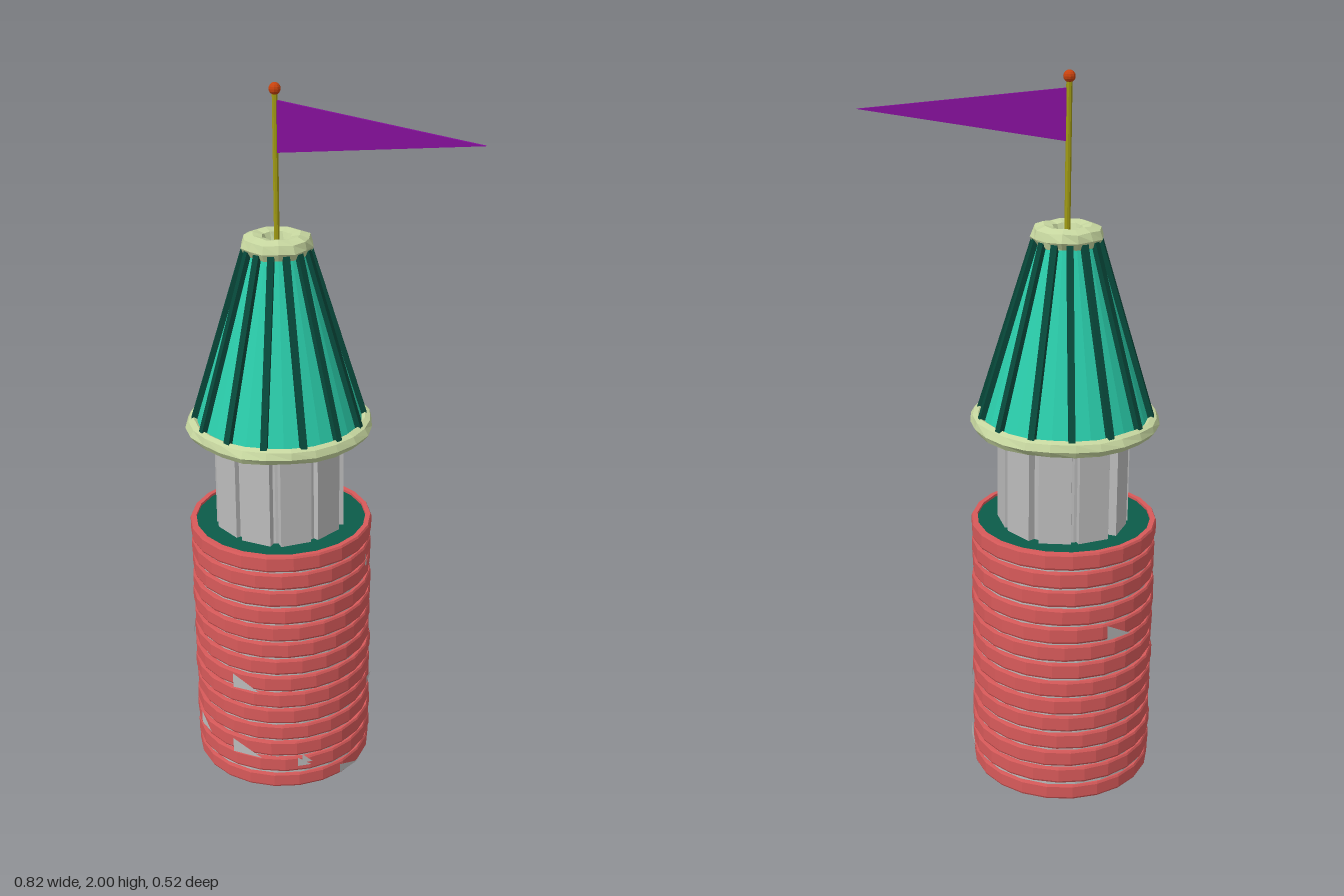
import * as THREE from 'three';

const mat = (name, color, extra = {}) => {
  const m = new THREE.MeshStandardMaterial({ color, flatShading: true, ...extra });
  m.name = name;
  return m;
};

export function createModel() {
  const M = {
    brick: mat('brick red', 0xd85a5a),
    stone: mat('stone grey', 0xbcbcbc, { side: THREE.DoubleSide }),
    roof: mat('roof green', 0x2accaa, { side: THREE.DoubleSide }),
    dark: mat('dark green', 0x0b5c4a),
    rib: mat('rib green', 0x07493b),
    cream: mat('cream trim', 0xc6d69f),
    pole: mat('pole yellow', 0xa09a14),
    ball: mat('finial orange', 0xc8430f),
    flag: mat('flag purple', 0x84109a, { side: THREE.DoubleSide }),
  };
  const root = new THREE.Group();
  root.name = 'flagTower';
  const tower = new THREE.Group();
  tower.name = 'tower';
  tower.position.x = -0.15;
  root.add(tower);

  const add = (name, geo, material, x = 0, y = 0, z = 0) => {
    const mesh = new THREE.Mesh(geo, material);
    mesh.name = name;
    mesh.position.set(x, y, z);
    tower.add(mesh);
    return mesh;
  };
  const cyl = (name, rt, rb, y0, y1, sides, material, open = false) =>
    add(name, new THREE.CylinderGeometry(rt, rb, y1 - y0, sides, 1, open), material, 0, (y0 + y1) / 2);
  const ring = (profile, sides) =>
    new THREE.LatheGeometry(profile.map(([r, y]) => new THREE.Vector2(r, y)), sides);

  // Stone core and brick courses, each turned a little
  cyl('towerCore', 0.25, 0.25, 0.002, 0.755, 20, M.stone);
  for (let i = 0; i < 14; i++) {
    const y = i * 0.0555, h = i ? 0.048 : 0.045;
    const r = 0.257 + 0.003 * Math.abs(Math.sin(i * 2.3));
    const course = add('brickCourse', ring([
      [0.243, 0], [r - 0.003, 0], [r, 0.006], [r, h - 0.006], [r - 0.003, h], [0.243, h], [0.243, 0],
    ], 22), M.brick, 0, y);
    course.rotation.y = i * 0.7;
  }
  cyl('balconyFloor', 0.248, 0.248, 0.75, 0.762, 24, M.dark);

  // Chipped bricks: angle in degrees from +x towards +z, height, width, depth
  const chips = [
    [91, 0.33, 0.08, 0.045], [91, 0.105, 0.09, 0.045], [128, 0.125, 0.06, 0.04], [157, 0.39, 0.05, 0.045],
    [54, 0.075, 0.04, 0.03], [225, 0.5, 0.08, 0.045], [0, 0.655, 0.012, 0.05], [-10, 0.245, 0.07, 0.025],
    [-20, 0.06, 0.08, 0.045], [52, 0.085, 0.03, 0.03], [20, 0.01, 0.08, 0.03],
  ];
  for (const [deg, y, w, h] of chips) {
    const s = new THREE.Shape([
      new THREE.Vector2(-w / 2, 0), new THREE.Vector2(w / 2, 0), new THREE.Vector2(-w / 2, h),
    ]);
    const a = THREE.MathUtils.degToRad(deg);
    const chip = add('brickChip', new THREE.ShapeGeometry(s), M.stone, Math.cos(a) * 0.261, y, Math.sin(a) * 0.261);
    chip.rotation.y = Math.PI / 2 - a;
  }

  // Upper room with upright stone slabs
  cyl('upperRoom', 0.166, 0.166, 0.755, 1.09, 20, M.stone);
  for (let i = 0; i < 10; i++) {
    const a = (i / 10) * Math.PI * 2 + 0.31;
    const slab = add('wallSlab', new THREE.BoxGeometry(0.088, 0.32, 0.03), M.stone,
      Math.cos(a) * 0.162, 0.915, Math.sin(a) * 0.162);
    slab.rotation.y = Math.PI / 2 - a + (i % 2 ? 0.1 : -0.06);
  }

  // Conical roof with fourteen ribs
  cyl('roofCone', 0.082, 0.237, 1.055, 1.565, 28, M.roof, true);
  cyl('roofTop', 0.082, 0.082, 1.56, 1.57, 20, M.roof);
  const lo = new THREE.Vector3(0.238, 1.065, 0), hi = new THREE.Vector3(0.084, 1.565, 0);
  const tilt = Math.atan2(lo.x - hi.x, hi.y - lo.y);
  for (let i = 0; i < 14; i++) {
    const pivot = new THREE.Group();
    pivot.name = 'roofRib';
    pivot.rotation.y = (i / 14) * Math.PI * 2;
    const rib = new THREE.Mesh(new THREE.BoxGeometry(0.022, lo.distanceTo(hi), 0.018), M.rib);
    rib.name = 'rib';
    rib.position.copy(lo).lerp(hi, 0.5);
    rib.rotation.z = tilt;
    pivot.add(rib);
    tower.add(pivot);
  }

  // Uneven plaster rings at the eaves and crown
  const lumpy = (profile, sides, amount) => {
    const geo = ring(profile, sides), p = geo.attributes.position;
    for (let i = 0; i < p.count; i++) {
      const x = p.getX(i), y = p.getY(i), z = p.getZ(i);
      const a = Math.atan2(z, x), n = Math.sin(a * 5 + y * 90) + Math.cos(a * 8 - y * 60);
      const k = 1 + (amount * n) / Math.hypot(x, z);
      p.setXYZ(i, x * k, y + amount * 0.8 * Math.sin(a * 7 + x * 0.1), z * k);
    }
    geo.computeVertexNormals();
    return geo;
  };
  add('eavesRing', lumpy([
    [0.2, 1.052], [0.225, 1.041], [0.25, 1.043], [0.261, 1.06],
    [0.253, 1.079], [0.238, 1.085], [0.222, 1.075], [0.2, 1.052],
  ], 24, 0.0017), M.cream);
  add('crownRing', lumpy([
    [0.028, 1.568], [0.06, 1.552], [0.088, 1.553], [0.098, 1.573],
    [0.09, 1.595], [0.065, 1.604], [0.04, 1.598], [0.028, 1.568],
  ], 14, 0.0018), M.cream);

  // Flagpole, finial and pennant
  cyl('flagpole', 0.008, 0.008, 1.56, 1.975, 8, M.pole);
  add('finial', new THREE.SphereGeometry(0.016, 10, 8), M.ball, 0, 1.984);
  const pennant = new THREE.Shape([
    new THREE.Vector2(0.004, 1.82), new THREE.Vector2(0.56, 1.886), new THREE.Vector2(0.004, 1.955),
  ]);
  add('pennant', new THREE.ExtrudeGeometry(pennant, { depth: 0.008, bevelEnabled: false }), M.flag, 0, 0, -0.004);

  return root;
}
